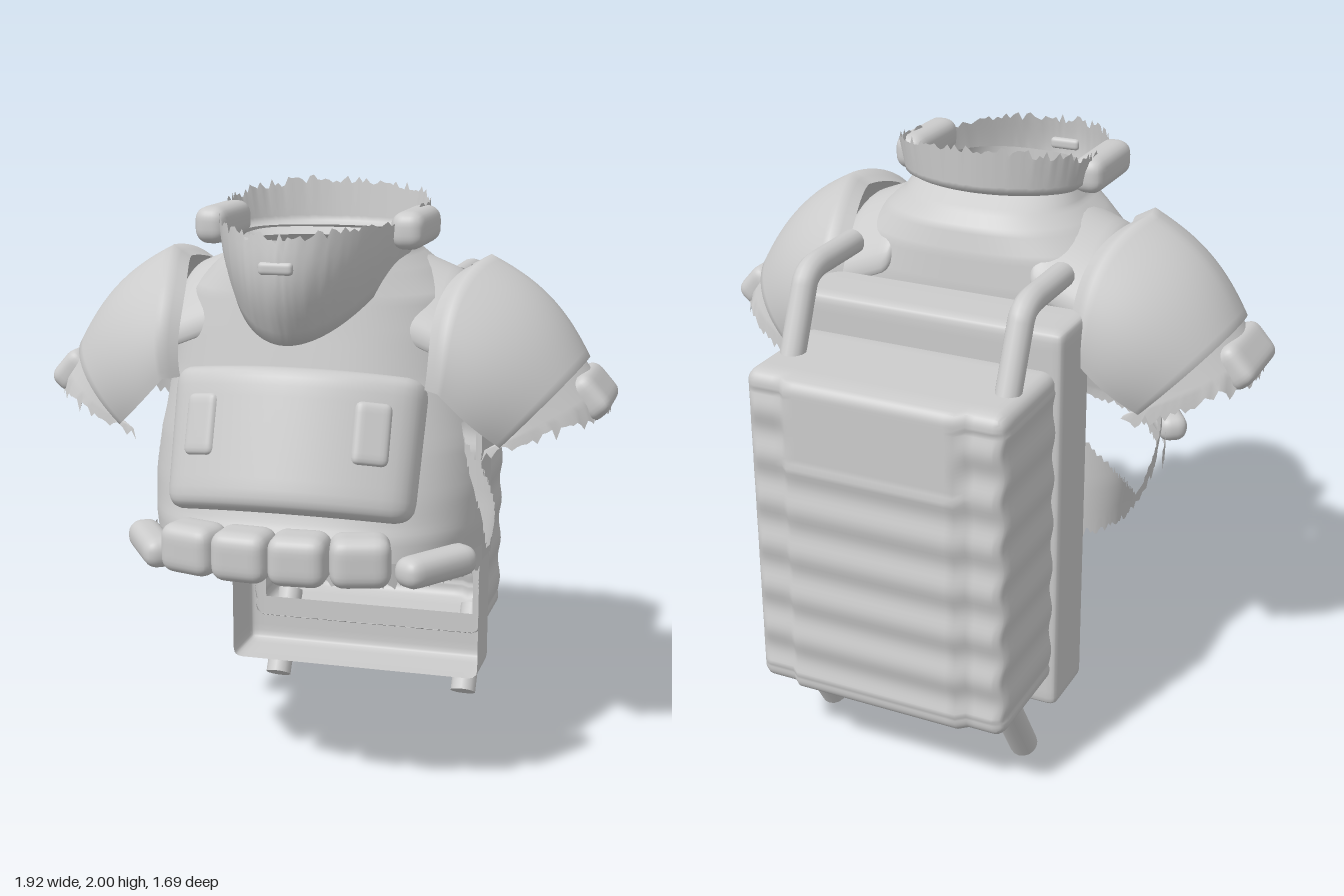
import * as THREE from 'three';
import { mergeVertices } from 'three/addons/utils/BufferGeometryUtils.js';

const { lerp, clamp } = THREE.MathUtils;
const jag = (i) => { const s = Math.sin(i * 12.9898) * 43758.5453; return s - Math.floor(s); };
const pw = (v, e) => Math.sign(v) * Math.abs(v) ** e;

export function createModel() {
  const model = new THREE.Group();
  const grey = new THREE.MeshStandardMaterial({ color: 0xcccccc, side: THREE.DoubleSide });
  grey.name = 'light grey plate';

  const add = (geo, name, parent = model) => {
    const m = new THREE.Mesh(geo, grey);
    m.name = name;
    parent.add(m);
    return m;
  };

  // Weld vertices, drop unwanted triangles by centroid, smooth normals
  const finish = (geo, drop) => {
    geo.deleteAttribute('normal');
    geo.deleteAttribute('uv');
    const g = mergeVertices(geo, 1e-4);
    g.clearGroups();
    if (drop) {
      const p = g.attributes.position, src = g.index.array, keep = [], c = new THREE.Vector3(), q = new THREE.Vector3();
      for (let i = 0; i < src.length; i += 3) {
        c.set(0, 0, 0);
        for (let k = 0; k < 3; k++) c.add(q.fromBufferAttribute(p, src[i + k]));
        c.divideScalar(3);
        if (!drop(c)) keep.push(src[i], src[i + 1], src[i + 2]);
      }
      g.setIndex(keep);
    }
    g.computeVertexNormals();
    return g;
  };

  // Surface from a rule fn(u, v) -> [x, y, z]
  const grid = (nu, nv, fn, drop) => {
    const pos = [], idx = [];
    for (let j = 0; j <= nv; j++) for (let i = 0; i <= nu; i++) pos.push(...fn(i / nu, j / nv, i));
    for (let j = 0; j < nv; j++) for (let i = 0; i < nu; i++) {
      const a = j * (nu + 1) + i, b = a + nu + 1;
      idx.push(a, a + 1, b, a + 1, b + 1, b);
    }
    const g = new THREE.BufferGeometry();
    g.setAttribute('position', new THREE.Float32BufferAttribute(pos, 3));
    g.setIndex(idx);
    return finish(g, drop);
  };

  // Rounded box whose vertices can be bent by a rule
  const softBox = (w, h, d, r, { seg = [14, 14, 14], bend, drop } = {}) => {
    const g = new THREE.BoxGeometry(w, h, d, ...seg), p = g.attributes.position;
    const half = new THREE.Vector3(w / 2, h / 2, d / 2);
    const inner = half.clone().subScalar(r), v = new THREE.Vector3(), c = new THREE.Vector3();
    for (let i = 0; i < p.count; i++) {
      v.fromBufferAttribute(p, i);
      for (const k of ['x', 'y', 'z']) v[k] = half[k] * Math.sin(clamp(v[k] / half[k], -1, 1) * Math.PI / 2);
      c.copy(v).clamp(inner.clone().negate(), inner);
      v.sub(c).normalize().multiplyScalar(r).add(c);
      if (bend) bend(v);
      p.setXYZ(i, v.x, v.y, v.z);
    }
    return finish(g, drop);
  };

  // Torso shell: height, half width, front z, back z
  const rows = [
    [0.74, 0.55, 0.68, -0.22], [0.9, 0.57, 0.65, -0.22], [1.05, 0.575, 0.6, -0.22], [1.2, 0.565, 0.55, -0.22],
    [1.4, 0.52, 0.49, -0.22], [1.55, 0.49, 0.46, -0.22], [1.66, 0.45, 0.44, -0.21], [1.74, 0.37, 0.43, -0.19],
    [1.79, 0.31, 0.43, -0.15], [1.84, 0.28, 0.43, -0.08]];
  add(grid(240, 54, (u, v, i) => {
    const t = v * (rows.length - 1), k = Math.min(Math.floor(t), rows.length - 2);
    let [y, a, zf, zb] = rows[k].map((n, m) => lerp(n, rows[k + 1][m], t - k));
    const th = u * Math.PI * 2, s = Math.sin(th), c = Math.cos(th), e = c > 0 ? 0.8 : lerp(0.6, 0.9, v);
    const z = 0.1 + (c > 0 ? zf - 0.1 : 0.1 - zb) * pw(c, e);
    y += Math.max(0, 1 - v * 6) * (0.13 * z + 0.01);
    if (v === 0) y -= 0.03 * jag(i % 240);
    return [a * pw(s, e), y, z];
  }, (c) => { // armholes
    const n = (c.y - 0.775) / 0.785;
    return Math.abs(c.x) > 0.25 && n > 0 && n < 1 && Math.abs(c.z - 0.08) < 0.26 * Math.sin(Math.PI * n) ** 0.75;
  }), 'torsoShell');

  // Ragged collar with deep chin guard, curling inward at its foot
  add(grid(160, 12, (u, v, i) => {
    const th = u * Math.PI * 2, s = Math.sin(th), c = Math.cos(th), f = Math.max(0, c);
    const ring = (rx, zf, zb, y) => [rx * s, y, 0.1 + (c > 0 ? zf - 0.1 : 0.1 - zb) * c];
    const top = ring(0.34 - 0.03 * f, 0.7, -0.14, 1.92 - 0.055 * c + 0.035 * jag(i % 160));
    const low = ring(0.32 - 0.05 * f, 0.61, -0.13, 1.85 - 0.31 * f ** 1.1);
    const neck = ring(0.27, 0.44, -0.05, 1.81 - 0.17 * f);
    const t = v * 1.5;
    const p = t <= 1 ? top.map((n, k) => lerp(n, low[k], t)) : low.map((n, k) => lerp(n, neck[k], (t - 1) * 2));
    if (t < 1) p[2] += 0.045 * f * Math.sin(Math.PI * t);
    return p;
  }), 'collar');
  add(softBox(0.11, 0.04, 0.03, 0.014), 'chinRidge').position.set(0, 1.79, 0.7);

  // Curved chest plate with two raised pads
  const chest = new THREE.Group();
  chest.name = 'chestPlate';
  chest.position.set(0, 1.245, 0.625);
  chest.rotation.x = -0.34;
  model.add(chest);
  const wrap = (x) => -0.8 * x * x;
  add(softBox(0.82, 0.46, 0.13, 0.06, { seg: [24, 16, 10], bend: (v) => {
    v.x *= 1 + 0.06 * v.y;
    v.z += wrap(v.x);
  } }), 'chestPanel', chest);
  for (const s of [-1, 1]) {
    const b = add(softBox(0.12, 0.2, 0.05, 0.024), 'chestPad', chest);
    b.position.set(s * 0.275, 0.035, 0.053 + wrap(0.275));
    b.rotation.y = s * 0.42;
  }

  // Ragged fringe below the belt
  add(grid(150, 3, (u, v, i) => {
    const th = lerp(-1.35, 1.35, u), y = 0.91 - 0.06 * Math.abs(Math.sin(th));
    return [0.58 * pw(Math.sin(th), 0.85), y - 0.05 * v - (v === 1 ? 0.035 * jag(i) : 0), 0.1 + 0.64 * pw(Math.cos(th), 0.85)];
  }), 'beltFringe');

  // Shoulder dome with a bowed inner rim; also used to start the sleeve below it
  const dome = (th, v, k) => {
    const b = 0.035 * Math.sin(Math.PI * v);
    const ry = (lerp(0.38, 0.31, v) + b) * k * Math.cos(th), rz = (lerp(0.39, 0.31, v) + b * 0.5) * k;
    const up = new THREE.Vector2(lerp(0.34, 0.69, v), lerp(0.94, 0.72, v)).normalize();
    const bow = 0.04 * (1 - v) * (Math.sin(th) ** 4 - Math.sin(2 * Math.abs(th)));
    return [lerp(0.42, 0.66, v) + up.x * ry + bow, lerp(1.42, 1.23, v) + up.y * ry, 0.1 + rz * Math.sin(th)];
  };

  // Parts that occur on both sides
  for (const s of [1, -1]) {
    const side = new THREE.Group();
    side.name = s > 0 ? 'leftSide' : 'rightSide';
    side.scale.x = s;
    model.add(side);

    // Shoulder pad with rims turned inward
    add(grid(48, 20, (u, v) => {
      const rim = Math.max(0, Math.abs(v - 0.5) - 0.4);
      const p = dome(lerp(-1.66, 1.66, u), clamp((v - 0.1) / 0.8, 0, 1), 1 - rim * (v < 0.5 ? 1 : 0.7));
      if (v < 0.5) p[0] -= rim * 0.5;
      return p;
    }), 'shoulderPad', side);

    add(grid(70, 6, (u, v, i) => {
      const th = lerp(-1.62, 1.62, u), a = dome(th, 0.95, 0.93), c = Math.cos(th);
      const hem = [0.6 + 0.35 * c, 1.2 + 0.12 * c, 0.1 + 0.31 * Math.sin(th)];
      const p = a.map((n, k) => lerp(n, hem[k], v));
      if (v === 1) p[1] -= 0.05 * jag(i + 7);
      return p;
    }), 'sleeve', side);

    const cuff = add(softBox(0.15, 0.1, 0.3, 0.04), 'sleeveBlock', side);
    cuff.position.set(0.89, 1.345, 0.1);
    cuff.rotation.z = -0.85;

    // Strap bent over the shoulder
    add(softBox(0.23, 0.09, 0.6, 0.04, { seg: [12, 8, 24], bend: (v) => {
      v.y += 1.715 - 2 * v.z * v.z - 0.4 * v.x;
      v.x += 0.36;
      v.z += 0.09;
    } }), 'shoulderStrap', side);

    add(softBox(0.11, 0.12, 0.31, 0.045), 'collarPod', side).position.set(0.325, 1.875, 0.23);

    // Belt pouches: x, y, z, turn, width, height, depth
    for (const [x, y, z, turn, w, h, d] of [
      [0.09, 0.91, 0.765, 0.06, 0.185, 0.16, 0.16],
      [0.27, 0.905, 0.72, 0.28, 0.19, 0.16, 0.15],
      [0.475, 0.855, 0.56, 0.98, 0.3, 0.1, 0.11]]) {
      const p = add(softBox(w, h, d, 0.045), 'beltPouch', side);
      p.position.set(x, y, z);
      p.rotation.y = turn;
    }

    // Pack handle and foot
    const path = new THREE.CurvePath();
    const pts = [[1.65, -0.22], [1.65, -0.44], [1.61, -0.54], [1.38, -0.64]].map(([y, z]) => new THREE.Vector3(0.375, y, z));
    path.add(new THREE.LineCurve3(pts[0], pts[1]));
    path.add(new THREE.QuadraticBezierCurve3(pts[1], new THREE.Vector3(0.375, 1.65, -0.52), pts[2]));
    path.add(new THREE.LineCurve3(pts[2], pts[3]));
    add(new THREE.TubeGeometry(path, 36, 0.042, 14), 'packHandle', side);

    const foot = add(new THREE.CylinderGeometry(0.048, 0.048, 0.34, 16), 'packFoot', side);
    foot.position.set(0.37, 0.175, -0.56);
    foot.rotation.x = -0.55;
  }

  // Pack frame, open to the front and into the rear case
  add(softBox(0.94, 1.36, 0.24, 0.03, {
    seg: [24, 30, 10],
    drop: (c) => c.z > 0.1 || (c.z < -0.1 && Math.abs(c.x) < 0.4 && Math.abs(c.y) < 0.52),
  }), 'packFrame').position.set(0, 0.86, -0.32);

  // Hollow rear case with shallow ribs and a raised back
  add(softBox(0.9, 1.13, 0.42, 0.045, {
    seg: [36, 90, 14],
    bend: (v) => {
      const rib = Math.abs(v.y) < 0.5 ? 0.007 * Math.sin(v.y * Math.PI * 2 / 0.16) : 0;
      if (Math.abs(v.x) > 0.42) v.x += Math.sign(v.x) * (rib * 0.7 - 0.003);
      if (v.z < -0.17) v.z += (v.y < 0.28 || Math.abs(v.x) > 0.31 ? rib : 0) - (Math.abs(v.x) < 0.31 ? 0.025 : 0);
    },
    drop: (c) => c.z > 0.19,
  }), 'packCase').position.set(0, 0.845, -0.605);

  return model;
}
